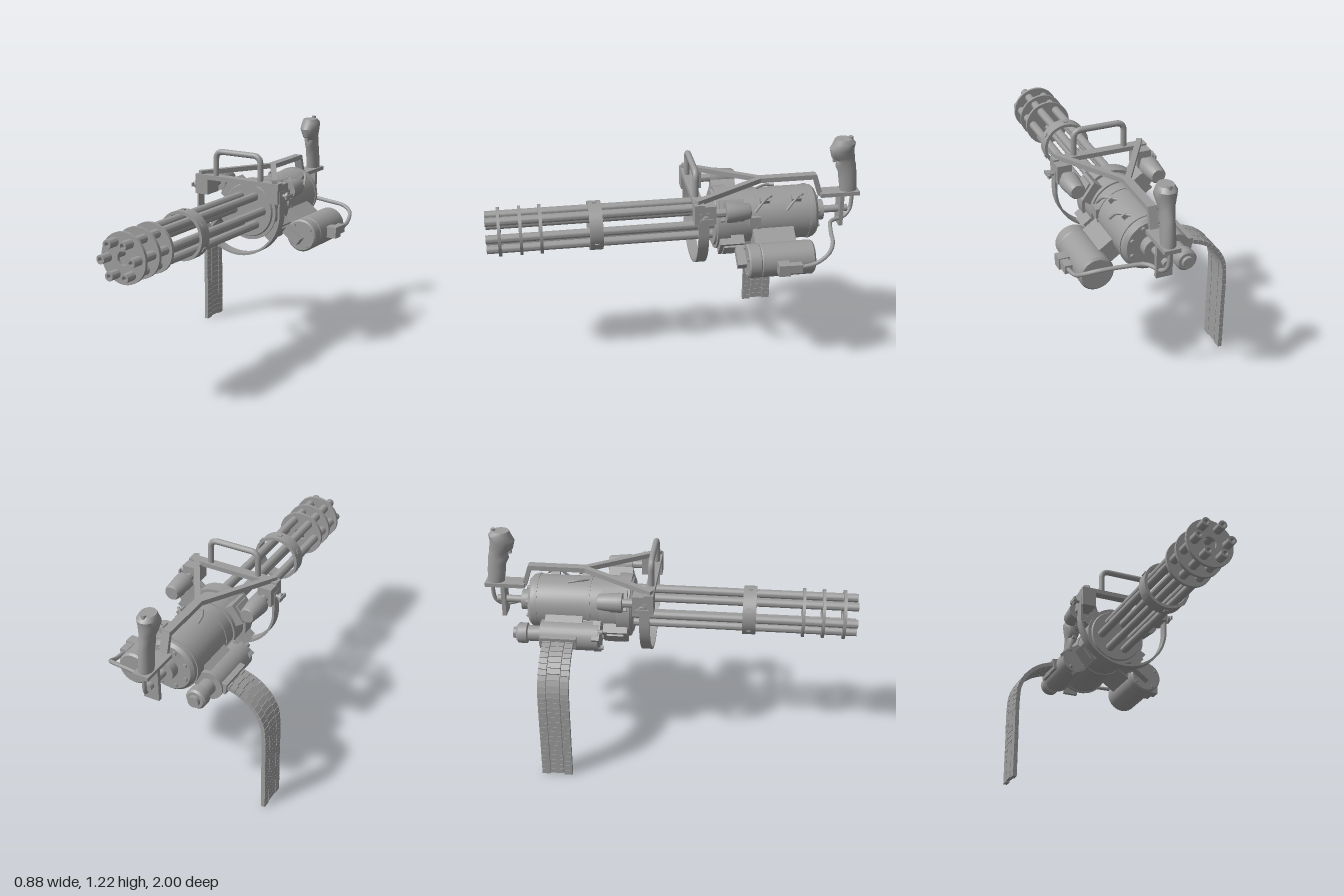
import * as THREE from 'three';
import { toCreasedNormals } from 'three/addons/utils/BufferGeometryUtils.js';

const CX = 0.04, CY = 0.815; // axis of the barrel cluster
const metal = new THREE.MeshStandardMaterial({ color: 0x9c9c9c });
metal.name = 'grey metal';
const V = (x, y, z) => new THREE.Vector3(x, y, z);

export function createModel() {
  const model = new THREE.Group();
  model.name = 'rotaryGun';

  const add = (name, geo, x = 0, y = 0, z = 0, rz = 0) => {
    const m = new THREE.Mesh(geo, metal);
    m.name = name;
    m.position.set(x, y, z);
    m.rotation.z = rz;
    model.add(m);
    return m;
  };
  const box = (name, w, h, d, x, y, z, rz = 0) => add(name, new THREE.BoxGeometry(w, h, d), x, y, z, rz);
  // Turned part along z: profile of [radius, z], z rising along the outer side
  const turned = (name, profile, x, y, seg = 32) => {
    const g = new THREE.LatheGeometry(profile.map(p => new THREE.Vector2(p[0], p[1])), seg);
    g.rotateX(Math.PI / 2);
    return add(name, toCreasedNormals(g, 0.6), x, y);
  };
  const ring = (name, ri, ro, z0, z1, x = CX, y = CY, seg = 40) =>
    turned(name, [[ri, z0], [ro, z0], [ro, z1], [ri, z1], [ri, z0]], x, y, seg);
  const rod = (name, r, z0, z1, x, y, seg = 20) =>
    add(name, new THREE.CylinderGeometry(r, r, z1 - z0, seg).rotateX(Math.PI / 2), x, y, (z0 + z1) / 2);
  const tube = (name, pts, r, seg = 40) =>
    add(name, new THREE.TubeGeometry(new THREE.CatmullRomCurve3(pts, false, 'centripetal'), seg, r, 10));
  const beam = (name, a, b, w, h) => {
    const m = box(name, w, h, a.distanceTo(b), 0, 0, 0);
    m.position.copy(a).add(b).multiplyScalar(0.5);
    m.lookAt(b);
    return m;
  };

  // Barrels and the plates that hold them
  for (let i = 0; i < 6; i++) {
    const a = i * Math.PI / 3 + 0.05;
    turned('barrel', [[0, -0.2], [0.023, -0.2], [0.023, 1], [0.012, 1], [0.012, 0.9], [0, 0.9]],
      CX + 0.09 * Math.cos(a), CY + 0.09 * Math.sin(a), 18);
  }
  for (const z of [0.715, 0.82, 0.93]) ring('barrelPlate', 0.035, 0.13, z - 0.008, z + 0.008);
  ring('barrelClamp', 0.114, 0.13, 0.395, 0.465);
  for (let i = 0; i < 6; i++) {
    const a = i * Math.PI / 3 + 0.57;
    box('clampBolt', 0.008, 0.022, 0.022, CX + 0.131 * Math.cos(a), CY + 0.131 * Math.sin(a), 0.43, a);
  }

  // Main housing
  turned('housing', [[0, -0.75], [0.125, -0.75], [0.14, -0.735], [0.143, -0.7], [0.143, -0.36], [0.152, -0.36],
    [0.152, -0.27], [0.168, -0.27], [0.168, -0.2], [0.15, -0.2], [0.145, -0.19], [0, -0.19]], CX, CY, 48);
  ring('housingBand', 0.14, 0.147, -0.43, -0.415);
  ring('rearBand', 0.138, 0.147, -0.715, -0.7);
  for (let i = 0; i < 8; i++) {
    const a = (i + 0.5) * Math.PI / 4;
    rod('rearBolt', 0.011, -0.762, -0.745, CX + 0.105 * Math.cos(a), CY + 0.105 * Math.sin(a), 8);
  }
  rod('rearHub', 0.055, -0.8, -0.74, CX, CY, 28);
  rod('rearShaft', 0.02, -0.94, -0.79, CX, CY);
  // Lugs around the housing
  for (const deg of [35, 145, 217, 323]) {
    const a = deg * Math.PI / 180;
    box('housingLug', 0.06, 0.11, 0.13, CX + 0.165 * Math.cos(a), CY + 0.165 * Math.sin(a), -0.275, a);
    box('lugCap', 0.012, 0.075, 0.09, CX + 0.199 * Math.cos(a), CY + 0.199 * Math.sin(a), -0.275, a);
  }
  // Fittings and linkage on the housing
  for (const z of [-0.46, -0.63]) {
    box('housingFitting', 0.03, 0.04, 0.05, CX + 0.09, CY + 0.12, z, -0.6);
    tube('linkage', [V(CX + 0.07, CY + 0.135, z - 0.04), V(CX + 0.12, CY + 0.13, z + 0.01), V(CX + 0.14, CY + 0.08, z + 0.06)], 0.007, 12);
  }
  box('sideFitting', 0.025, 0.05, 0.06, CX + 0.142, CY + 0.03, -0.4);
  tube('topLatch', [V(CX - 0.045, CY + 0.142, -0.54), V(CX - 0.04, CY + 0.15, -0.49), V(CX - 0.01, CY + 0.145, -0.43)], 0.007, 12);

  // Strap under the housing
  const strap = new THREE.Shape();
  strap.moveTo(-0.262, 0.12);
  strap.lineTo(-0.262, 0);
  strap.absarc(0, 0, 0.262, Math.PI, 2 * Math.PI, false);
  strap.lineTo(0.262, 0.12);
  strap.lineTo(0.25, 0.12);
  strap.lineTo(0.25, 0);
  strap.absarc(0, 0, 0.25, 2 * Math.PI, Math.PI, true);
  strap.lineTo(-0.25, 0.12);
  const strapGeo = new THREE.ExtrudeGeometry(strap, { depth: 0.055, bevelEnabled: false, curveSegments: 32 });
  add('strap', toCreasedNormals(strapGeo, 0.5), CX, 0.847, -0.135);

  // Front bracket, carry handle and V frame
  box('bracketBar', 0.52, 0.025, 0.05, CX, 1.0, -0.085);
  for (const s of [-1, 1]) {
    box('bracketBlock', 0.078, 0.1, 0.11, CX + s * 0.221, 0.953, -0.115);
    beam('frameLeg', V(CX + s * 0.235, 1.018, -0.07), V(CX, 1.018, -0.46), 0.03, 0.026);
    // Clamp knobs
    const stem = add('knobStem', new THREE.CylinderGeometry(0.01, 0.01, 0.04, 12), CX + s * 0.275, 0.942, -0.115);
    const knob = add('knob', new THREE.CylinderGeometry(0.022, 0.022, 0.014, 16), CX + s * 0.288, 0.942, -0.115);
    stem.rotation.z = knob.rotation.z = Math.PI / 2;
    box('knobWing', 0.008, 0.02, 0.07, CX + s * 0.297, 0.942, -0.115);
    // Recoil buffers
    turned('buffer', [[0, -0.355], [0.036, -0.355], [0.042, -0.345], [0.052, -0.245], [0.052, -0.225], [0.022, -0.225],
      [0.022, -0.15], [0, -0.15]], CX + s * 0.22, 0.945, 24);
    box('bufferMount', 0.1, 0.035, 0.05, CX + s * 0.165, 0.915, -0.27, -s * 0.6);
  }
  const hp = new THREE.CurvePath();
  const p = [V(-0.139, 0.99, 0), V(-0.139, 1.1, 0), V(-0.139, 1.146, 0), V(-0.095, 1.146, 0),
    V(0.095, 1.146, 0), V(0.139, 1.146, 0), V(0.139, 1.1, 0), V(0.139, 0.99, 0)];
  hp.add(new THREE.LineCurve3(p[0], p[1]));
  hp.add(new THREE.QuadraticBezierCurve3(p[1], p[2], p[3]));
  hp.add(new THREE.LineCurve3(p[3], p[4]));
  hp.add(new THREE.QuadraticBezierCurve3(p[4], p[5], p[6]));
  hp.add(new THREE.LineCurve3(p[6], p[7]));
  add('carryHandle', new THREE.TubeGeometry(hp, 60, 0.016, 12), CX, 0, -0.083);

  // Spine and rear grip mount
  beam('spine', V(CX, 1.018, -0.44), V(CX, 1.018, -0.755), 0.045, 0.026);
  beam('spineDrop', V(CX, 1.026, -0.748), V(CX, 0.908, -0.785), 0.045, 0.022);
  box('gripPlate', 0.085, 0.022, 0.215, CX, 0.914, -0.888);
  box('rearPlate', 0.085, 0.18, 0.022, CX, 0.82, -0.9);

  // Rear grip, lofted from [y, z, half width, half depth]
  const rows = [[0.92, -0.94, 0.036, 0.046], [0.96, -0.936, 0.036, 0.048], [0.995, -0.932, 0.035, 0.05],
    [1.03, -0.928, 0.034, 0.05], [1.065, -0.918, 0.034, 0.057], [1.1, -0.915, 0.035, 0.05],
    [1.118, -0.9, 0.038, 0.064], [1.165, -0.89, 0.053, 0.066], [1.2, -0.902, 0.052, 0.06], [1.222, -0.895, 0.04, 0.045]];
  const N = 20, pos = [], idx = [];
  for (const [y, z, w, d] of rows)
    for (let i = 0; i < N; i++) {
      const a = i / N * Math.PI * 2;
      pos.push(w * Math.cos(a), y, z + d * Math.sin(a));
    }
  for (let r = 0; r < rows.length - 1; r++)
    for (let i = 0; i < N; i++) {
      const a = r * N + i, b = r * N + (i + 1) % N;
      idx.push(a, a + N, b, b, a + N, b + N);
    }
  const top = (rows.length - 1) * N;
  for (let i = 1; i < N - 1; i++) idx.push(top, top + i + 1, top + i);
  const gripGeo = new THREE.BufferGeometry();
  gripGeo.setAttribute('position', new THREE.Float32BufferAttribute(pos, 3));
  gripGeo.setIndex(idx);
  add('grip', toCreasedNormals(gripGeo, 0.7), CX);
  add('gripButton', new THREE.CylinderGeometry(0.012, 0.014, 0.03, 12), CX, 1.218, -0.935);
  box('trigger', 0.02, 0.035, 0.02, CX, 1.11, -0.855);

  // Drive motor, its arm, connector and cable
  const MX = 0.292, MY = 0.67;
  turned('motor', [[0, -0.69], [0.08, -0.69], [0.09, -0.68], [0.09, -0.41], [0.086, -0.405], [0.09, -0.4],
    [0.09, -0.345], [0.082, -0.337], [0, -0.337]], MX, MY, 36);
  for (let i = 0; i < 4; i++) {
    const a = i * Math.PI / 2 + 0.6;
    rod('motorBolt', 0.009, -0.34, -0.328, MX + 0.07 * Math.cos(a), MY + 0.07 * Math.sin(a), 8);
  }
  box('motorArm', 0.16, 0.045, 0.05, 0.235, 0.69, -0.315, -0.62);
  box('motorSaddle', 0.12, 0.1, 0.22, 0.2, 0.725, -0.5, -0.62);
  box('connector', 0.07, 0.062, 0.06, 0.4, 0.672, -0.51);
  box('connectorPlug', 0.04, 0.045, 0.07, 0.408, 0.675, -0.57);
  tube('cable', [V(0.41, 0.675, -0.59), V(0.405, 0.69, -0.68), V(0.385, 0.73, -0.75), V(0.33, 0.755, -0.785), V(0.2, 0.765, -0.81),
    V(0.1, 0.77, -0.84), V(0.06, 0.775, -0.92), V(0.045, 0.81, -0.955), V(0.04, 0.91, -0.965)], 0.011, 60);

  // Ammunition feeder
  const FX = -0.135, FY = 0.708;
  rod('feederDrum', 0.078, -0.67, -0.36, FX, FY, 28);
  box('feederBody', 0.13, 0.12, 0.2, FX + 0.02, FY + 0.02, -0.55, 0.6);
  box('feederMouth', 0.08, 0.06, 0.19, -0.19, 0.715, -0.565, 0.15);
  box('feederFront', 0.115, 0.14, 0.04, FX, FY, -0.37, 0.6);
  box('feederArm', 0.13, 0.09, 0.16, -0.06, 0.755, -0.44, 0.6);
  for (const [dx, dy] of [[-0.04, 0.05], [0.05, -0.03], [-0.03, -0.05]]) rod('feederBolt', 0.012, -0.4, -0.335, FX + dx, FY + dy, 10);
  turned('feederMotor', [[0, -0.82], [0.03, -0.82], [0.03, -0.8], [0.045, -0.8], [0.055, -0.79], [0.055, -0.745],
    [0.042, -0.74], [0.042, -0.66], [0, -0.66]], FX, FY, 24);

  // Ammunition belt: links along a path, the middle column staggered
  const belt = new THREE.CatmullRomCurve3([V(-0.18, 0.718, 0), V(-0.25, 0.706, 0), V(-0.32, 0.675, 0),
    V(-0.385, 0.615, 0), V(-0.422, 0.54, 0), V(-0.431, 0.46, 0), V(-0.431, 0.24, 0), V(-0.431, 0.008, 0)], false, 'centripetal');
  const links = 28, pitch = belt.getLength() / links;
  for (let i = 0; i < links; i++)
    for (const [dz, w, shift] of [[-0.06, 0.044, 0.5], [0, 0.07, 0.25], [0.06, 0.044, 0.5]]) {
      const u = (i + shift) / links, c = belt.getPointAt(u), t = belt.getTangentAt(u);
      box('beltLink', pitch * 0.95, 0.022, w, c.x, c.y, -0.565 + dz, Math.atan2(t.y, t.x));
    }
  return model;
}
